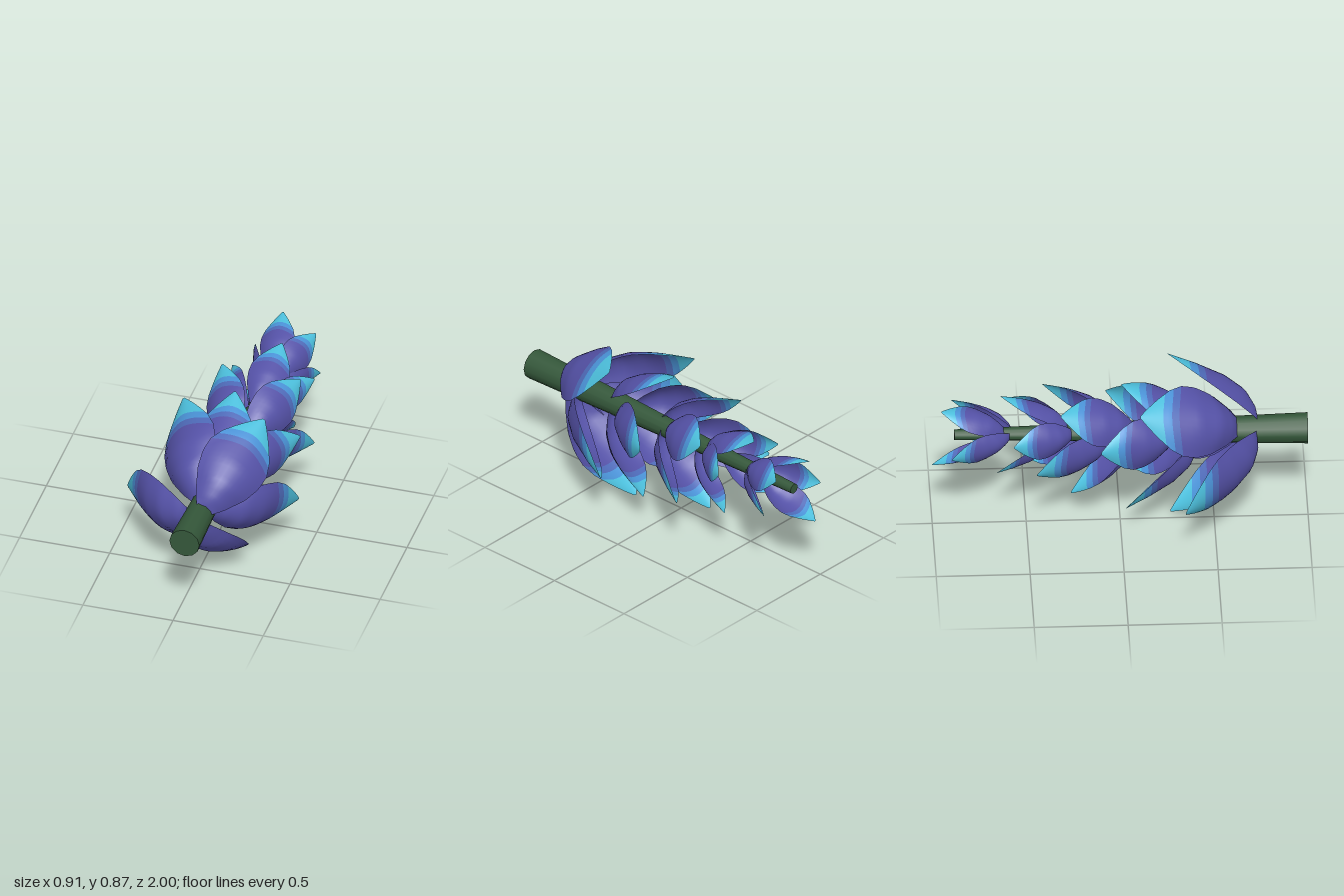
import * as THREE from 'three';

const mat = (name, color, side = THREE.FrontSide) => {
  const m = new THREE.MeshStandardMaterial({ color, side });
  m.name = name;
  return m;
};

// Linear interpolation through [t, value] pairs
function sample(points, t) {
  for (let i = 1; i < points.length; i++) {
    const [a, va] = points[i - 1], [b, vb] = points[i];
    if (t <= b) return va + (vb - va) * (t - a) / (b - a);
  }
  return points[points.length - 1][1];
}

const HALF_WIDTH = [[0, 0.07], [0.12, 0.16], [0.3, 0.26], [0.45, 0.302], [0.58, 0.302], [0.7, 0.255], [0.84, 0.155], [0.95, 0.06], [1, 0.012]];
const BULGE = [[0, 0], [0.1, 0.085], [0.26, 0.15], [0.48, 0.145], [0.75, 0.08], [1, 0]];
// Ends of the colour bands along the petal
const BANDS = [0.67, 0.735, 0.81, 1];

// Cupped petal of unit length along +y, bulging to +z, one group per band
function petalGeometry() {
  const cols = 12, pos = [], index = [], rows = [];
  let start = 0;
  BANDS.forEach((end, band) => {
    const n = band === 0 ? 14 : 4;
    for (let i = 0; i < n; i++) rows.push({ s: start + (end - start) * i / n, band });
    start = end;
  });
  rows.push({ s: 1 });
  for (const { s } of rows) {
    for (let j = 0; j <= cols; j++) {
      const u = j / cols * 2 - 1;
      const t = s - 0.4 * u * u * s * (1 - s); // bands sweep back along the edges
      pos.push(u * sample(HALF_WIDTH, t), t, sample(BULGE, t) * (1 - 0.9 * u * u));
    }
  }
  const geo = new THREE.BufferGeometry();
  let first = 0;
  for (let r = 0; r < rows.length - 1; r++) {
    for (let j = 0; j < cols; j++) {
      const a = r * (cols + 1) + j, b = a + cols + 1;
      index.push(a, a + 1, b + 1, a, b + 1, b);
    }
    if (rows[r].band !== rows[r + 1].band) {
      geo.addGroup(first, index.length - first, rows[r].band);
      first = index.length;
    }
  }
  geo.setAttribute('position', new THREE.Float32BufferAttribute(pos, 3));
  geo.setIndex(index);
  geo.computeVertexNormals();
  return geo;
}

// Whorls from front to back; each petal: tip x, y, z and base z
const WHORLS = [
  { width: 1, petals: [[0.285, 0.865, 0.26, 0.74], [-0.21, 0.795, 0.1, 0.63], [-0.45, 0.33, 0.33, 0.73], [0.065, 0, 0.27, 0.73], [0.45, 0.32, 0.17, 0.64]] },
  { width: 0.95, petals: [[0.05, 0.83, 0.01, 0.42], [-0.23, 0.58, -0.11, 0.3], [-0.17, 0.18, 0.02, 0.42], [0.28, 0.19, 0.02, 0.41], [0.39, 0.56, -0.06, 0.33]] },
  { width: 0.92, petals: [[0.29, 0.68, -0.4, 0], [-0.12, 0.75, -0.32, 0.08], [-0.2, 0.43, -0.45, -0.04], [0.06, 0.135, -0.26, 0.08], [0.39, 0.34, -0.32, 0.04]] },
  { width: 0.88, petals: [[0.12, 0.725, -0.63, -0.27], [-0.14, 0.57, -0.57, -0.25], [-0.06, 0.355, -0.66, -0.36], [0.22, 0.28, -0.51, -0.2], [0.32, 0.58, -0.56, -0.28]] },
  { width: 0.83, petals: [[0.03, 0.695, -0.95, -0.61], [-0.11, 0.48, -0.9, -0.58], [0.04, 0.35, -1, -0.65], [0.27, 0.42, -0.84, -0.56], [0.23, 0.635, -0.89, -0.57]] },
];

export function createModel() {
  const group = new THREE.Group();
  const green = mat('stemGreen', 0x34573a);
  const petalMats = [
    mat('petalPurple', 0x5451a6, THREE.DoubleSide),
    mat('petalIndigoBlue', 0x4e6ab8, THREE.DoubleSide),
    mat('petalBlue', 0x4a92d6, THREE.DoubleSide),
    mat('petalCyan', 0x4cbfdc, THREE.DoubleSide),
  ];

  // Tapered stem lying along z
  const front = new THREE.Vector3(0.063, 0.515, 1), back = new THREE.Vector3(0.075, 0.517, -0.88);
  const axis = front.clone().sub(back);
  const stem = new THREE.Mesh(new THREE.CylinderGeometry(0.083, 0.028, axis.length(), 12), green);
  stem.name = 'stem';
  stem.position.copy(front).add(back).multiplyScalar(0.5);
  stem.quaternion.setFromUnitVectors(new THREE.Vector3(0, 1, 0), axis.clone().normalize());
  group.add(stem);

  // Petals, each turned from its base on the stem to its tip
  const geo = petalGeometry();
  WHORLS.forEach(({ width, petals }, w) => {
    const whorl = new THREE.Group();
    whorl.name = `petalWhorl${w + 1}`;
    for (const [x, y, z, baseZ] of petals) {
      const tip = new THREE.Vector3(x, y, z);
      const base = back.clone().lerp(front, (baseZ + 0.88) / 1.88);
      const radial = new THREE.Vector3(x - base.x, y - base.y, 0).normalize();
      base.addScaledVector(radial, 0.045 - 0.006 * w);
      const along = tip.clone().sub(base);
      const length = along.length();
      along.normalize();
      const side = along.clone().cross(radial).normalize();
      const out = side.clone().cross(along);
      const petal = new THREE.Mesh(geo, petalMats);
      petal.name = 'petal';
      petal.position.copy(base);
      petal.quaternion.setFromRotationMatrix(new THREE.Matrix4().makeBasis(side, along, out));
      petal.scale.set(length * width, length, length * width);
      whorl.add(petal);
    }
    group.add(whorl);
  });
  return group;
}
